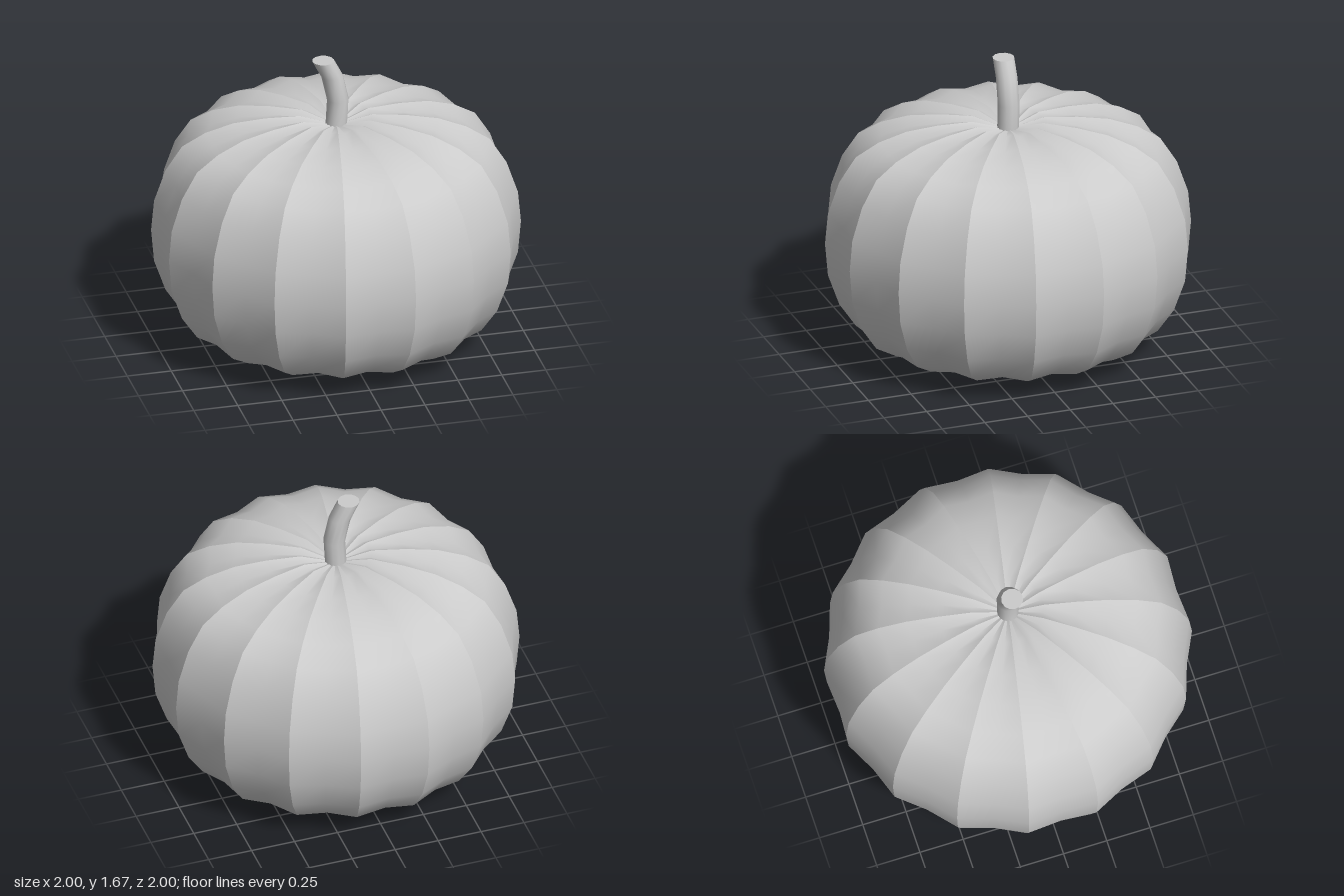
import * as THREE from 'three';
import { mergeGeometries, toCreasedNormals } from 'three/addons/utils/BufferGeometryUtils.js';

const RIBS = 16;
const MID_Y = 0.665;
const VALLEY = 0.969; // panel middles sink slightly toward the centre

// Rib profile from bottom to top: [radius, height]
const PROFILE = [
  [0, 0.035], [0.2, 0], [0.39, 0.01], [0.565, 0.03], [0.72, 0.07], [0.848, 0.145],
  [0.94, 0.28], [1.003, 0.46], [1.0194, 0.65], [1.003, 0.83], [0.94, 1.015],
  [0.848, 1.16], [0.72, 1.24], [0.565, 1.295], [0.39, 1.32], [0.2, 1.33], [0, 1.275],
];

// One slightly hollow panel between two ribs; smooth inside, sharp at its ribs
function ribPanel(index) {
  const step = (Math.PI * 2) / RIBS;
  const geo = new THREE.PlaneGeometry(1, 1, 2, PROFILE.length - 1);
  const pos = geo.attributes.position;
  for (let i = 0; i < pos.count; i++) {
    const col = i % 3;
    const [r, y] = PROFILE[PROFILE.length - 1 - Math.floor(i / 3)];
    const s = col === 1 && r > 0 ? VALLEY : 1;
    const a = (index + (col - 1) / 2) * step;
    pos.setXYZ(i, Math.sin(a) * r * s, MID_Y + (y - MID_Y) * s, Math.cos(a) * r * s);
  }
  geo.computeVertexNormals();
  return geo;
}

// Stem: level rings whose centres drift sideways
function stemGeometry() {
  const rings = [[0, 1.25], [0.01, 1.43], [-0.022, 1.575], [-0.073, 1.675]];
  const geo = new THREE.CylinderGeometry(0.061, 0.061, 3, 12, 3);
  const pos = geo.attributes.position;
  for (let i = 0; i < pos.count; i++) {
    const [x, y] = rings[Math.round(pos.getY(i) + 1.5)];
    pos.setXYZ(i, pos.getX(i) + x, y, pos.getZ(i));
  }
  return toCreasedNormals(geo, 0.9);
}

export function createModel() {
  const model = new THREE.Group();
  model.name = 'pumpkin';
  const material = new THREE.MeshStandardMaterial({ color: 0xcccccc });

  // Ribbed body
  const panels = Array.from({ length: RIBS }, (_, i) => ribPanel(i));
  const body = new THREE.Mesh(mergeGeometries(panels), material);
  body.name = 'body';
  model.add(body);

  // Bent stem
  const stem = new THREE.Mesh(stemGeometry(), material);
  stem.name = 'stem';
  model.add(stem);

  return model;
}
